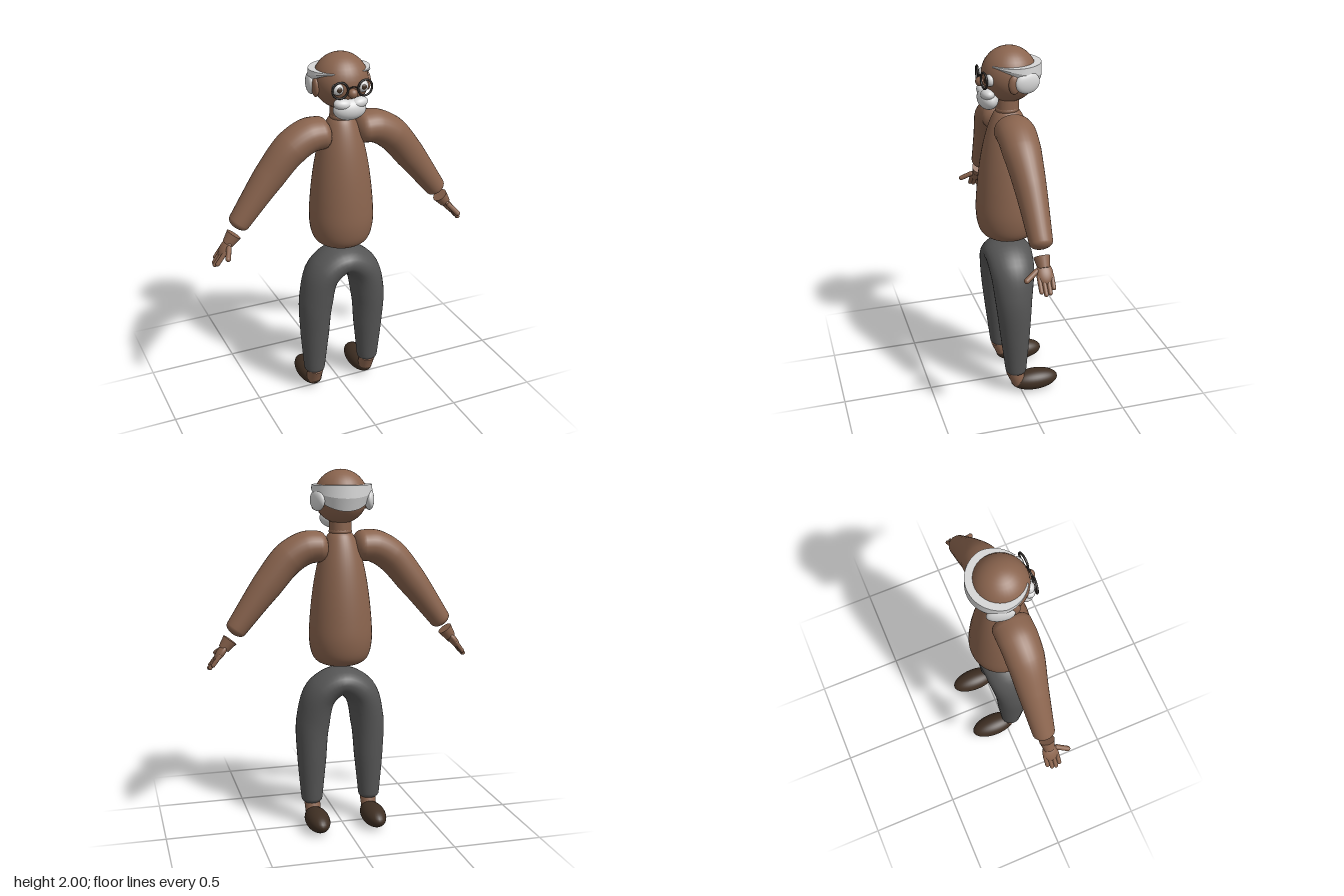
import * as THREE from 'three';

const mat = (name, color, side = THREE.FrontSide) => {
  const m = new THREE.MeshStandardMaterial({ color, side });
  m.name = name;
  return m;
};

export function createModel() {
  const root = new THREE.Group();
  root.name = 'bespectacledMan';
  const skin = mat('skin brown', 0x8a644e);
  const trouser = mat('trouser grey', 0x555555);
  const leather = mat('shoe brown', 0x3f2f23);
  const hair = mat('hair white', 0xd6d6d6);
  const frame = mat('frame black', 0x2a2624);
  const V = (x, y, z) => new THREE.Vector3(x, y, z);

  const add = (name, geo, material, parent = root) => {
    const m = new THREE.Mesh(geo, material);
    m.name = name;
    parent.add(m);
    return m;
  };
  const ball = (name, p, r, material, parent = root) => {
    const m = add(name, new THREE.SphereGeometry(1, 32, 20), material, parent);
    m.position.set(...p);
    m.scale.set(...r);
    return m;
  };
  // Tapered rod between two points
  const rod = (name, a, b, ra, rb, material, parent = root) => {
    const m = add(name, new THREE.CylinderGeometry(rb, ra, a.distanceTo(b), 20), material, parent);
    m.position.copy(a).add(b).multiplyScalar(0.5);
    m.quaternion.setFromUnitVectors(V(0, 1, 0), b.clone().sub(a).normalize());
    return m;
  };

  // Round-ended limb in the xy plane; stations are [x, y, radius, depth radius, z]
  const limb = (name, stations, material) => {
    const path = new THREE.CatmullRomCurve3(stations.map(s => V(s[0], s[1], s[4])));
    const n = 48, sides = 28, pos = [], idx = [];
    const mix = (t, k) => {
      const f = t * (stations.length - 1), i = Math.min(Math.floor(f), stations.length - 2);
      return THREE.MathUtils.lerp(stations[i][k], stations[i + 1][k], f - i);
    };
    const rings = [];
    for (let k = 0; k < 6; k++) rings.push([0, k / 6 * Math.PI / 2, -1]);
    for (let k = 0; k <= n; k++) rings.push([k / n, Math.PI / 2, 0]);
    for (let k = 5; k >= 0; k--) rings.push([1, k / 6 * Math.PI / 2, 1]);
    rings.forEach(([t, a, end]) => {
      const tan = path.getTangent(t).setZ(0).normalize();
      const c = path.getPoint(t).addScaledVector(tan, end * Math.cos(a) * mix(t, 2) * 0.6);
      const s = Math.max(Math.sin(a), 0.001);
      for (let j = 0; j < sides; j++) {
        const u = j / sides * Math.PI * 2, r = mix(t, 2) * s * Math.cos(u);
        pos.push(c.x - tan.y * r, c.y + tan.x * r, c.z + mix(t, 3) * s * Math.sin(u));
      }
    });
    for (let i = 0; i < rings.length - 1; i++) for (let j = 0; j < sides; j++) {
      const a = i * sides + j, b = i * sides + (j + 1) % sides;
      idx.push(a, b, a + sides, b, b + sides, a + sides);
    }
    const g = new THREE.BufferGeometry();
    g.setAttribute('position', new THREE.Float32BufferAttribute(pos, 3));
    g.setIndex(idx);
    g.computeVertexNormals();
    return add(name, g, material);
  };

  // Torso and neck
  const profile = new THREE.SplineCurve([
    [0.001, 0.925], [0.09, 0.935], [0.15, 0.975], [0.174, 1.07], [0.17, 1.2], [0.152, 1.36],
    [0.125, 1.5], [0.09, 1.61], [0.055, 1.665], [0.001, 1.67]
  ].map(p => new THREE.Vector2(...p)));
  add('torso', new THREE.LatheGeometry(profile.getPoints(50), 40), skin).position.z = 0.031;
  rod('neck', V(0, 1.58, 0.033), V(0, 1.75, 0.033), 0.062, 0.062, skin);
  const collar = add('collar', new THREE.TorusGeometry(0.05, 0.014, 10, 32), skin);
  collar.rotation.x = Math.PI / 2;
  collar.position.set(0, 1.668, 0.033);

  // Trousers: one arch from ankle to ankle
  const leg = [[0.168, 0.16, 0.06, 0.06, 0.033], [0.166, 0.38, 0.081, 0.083, 0.037],
    [0.158, 0.6, 0.095, 0.103, 0.042], [0.112, 0.77, 0.092, 0.125, 0.038]];
  limb('trousers', [...leg.map(s => [-s[0], ...s.slice(1)]), [0, 0.835, 0.08, 0.135, 0.035],
    ...leg.slice().reverse()], trouser);

  for (const s of [-1, 1]) {
    const side = s > 0 ? 'left' : 'right';
    // Arm
    limb(side + 'Arm', [[0.12, 1.588, 0.085, 0.103, 0.034], [0.19, 1.583, 0.09, 0.104, 0.036],
      [0.285, 1.53, 0.091, 0.1, 0.037], [0.41, 1.385, 0.083, 0.082, 0.03],
      [0.58, 1.16, 0.058, 0.06, 0.026]].map(p => [p[0] * s, ...p.slice(1)]), skin);

    // Hand hanging along its own -y axis, thumb forward
    const hand = new THREE.Group();
    hand.name = side + 'Hand';
    hand.position.set(0.614 * s, 1.1, 0.033);
    hand.rotation.z = 0.652 * s;
    root.add(hand);
    rod('cuff', V(0, -0.06, 0), V(0, 0, 0), 0.03, 0.042, skin, hand);
    ball('palm', [0, -0.085, 0], [0.022, 0.058, 0.043], skin, hand);
    for (let i = 0; i < 4; i++) {
      const z = (i - 1.5) * 0.022, len = [0.172, 0.195, 0.2, 0.185][i];
      const f = add('finger', new THREE.CapsuleGeometry(0.0115, len - 0.11, 6, 12), skin, hand);
      f.position.set(0, -(len + 0.09) / 2, z);
    }
    const thumb = add('thumb', new THREE.CapsuleGeometry(0.014, 0.07, 6, 12), skin, hand);
    thumb.position.set(0, -0.09, 0.068);
    thumb.rotation.x = -0.95;

    // Ankle and shoe
    rod(side + 'Ankle', V(0.165 * s, 0.06, 0.01), V(0.165 * s, 0.15, 0.045), 0.042, 0.046, skin);
    ball(side + 'Shoe', [0.163 * s, 0.064, -0.08], [0.067, 0.06, 0.138], leather);

    // Ear and side tuft of hair
    ball(side + 'Ear', [0.145 * s, 1.835, 0.035], [0.017, 0.05, 0.03], skin);
    const tuft = ball(side + 'HairTuft', [0.143 * s, 1.84, -0.035], [0.026, 0.056, 0.07], hair);
    tuft.rotation.y = 0.25 * s;

    // Eye, pupil and spectacle rim
    ball(side + 'Eye', [0.068 * s, 1.847, 0.142], [0.032, 0.032, 0.026], hair);
    ball(side + 'Pupil', [0.068 * s, 1.847, 0.163], [0.015, 0.015, 0.008], leather);
    const rim = add(side + 'Rim', new THREE.TorusGeometry(0.041, 0.0055, 10, 36), frame);
    rim.position.set(0.069 * s, 1.847, 0.173);
    rim.rotation.y = 0.12 * s;

    // Half of the moustache
    const lobe = ball(side + 'Moustache', [0.042 * s, 1.765, 0.148], [0.052, 0.03, 0.036], hair);
    lobe.rotation.z = 0.15 * s;
  }

  // Head and face
  ball('head', [0, 1.855, 0.022], [0.145, 0.145, 0.145], skin);
  ball('nose', [0, 1.825, 0.176], [0.026, 0.025, 0.025], skin);
  ball('beard', [0, 1.733, 0.137], [0.09, 0.058, 0.054], hair);
  const bridge = add('bridge', new THREE.TorusGeometry(0.028, 0.0045, 8, 16, Math.PI), frame);
  bridge.position.set(0, 1.842, 0.176);
  bridge.scale.y = 0.6;

  // Hair band: open at the forehead, deepening toward the back
  const pos = [], idx = [], n = 56;
  for (let i = 0; i <= n; i++) {
    const a = THREE.MathUtils.lerp(0.62, Math.PI * 2 - 0.62, i / n);
    const back = THREE.MathUtils.clamp((0.8 - Math.cos(a)) / 1.8, 0, 1);
    const drop = 0.005 + 0.13 * Math.pow(back, 1.4);
    const outer = 0.136 + 0.031 * Math.min(1, back * 1.8);
    const ring = [[0.11, 0], [outer, 0], [outer + 0.002, -drop * 0.5], [outer - 0.02 * back, -drop], [0.11, -drop]];
    // Corners are doubled so that each strip keeps its own normals
    for (let j = 0; j < 4; j++) for (const [r, dy] of [ring[j], ring[j + 1]])
      pos.push(Math.sin(a) * r, 1.92 + dy, 0.022 + Math.cos(a) * r);
    if (i < n) for (let j = 0; j < 4; j++) {
      const p = i * 8 + j * 2, q = p + 8;
      idx.push(p, p + 1, q, p + 1, q + 1, q);
    }
  }
  const band = new THREE.BufferGeometry();
  band.setAttribute('position', new THREE.Float32BufferAttribute(pos, 3));
  band.setIndex(idx.reverse());
  band.computeVertexNormals();
  // Turn the strips outward if the top strip faces down
  if (band.attributes.normal.getY(8 * 28) < 0) {
    band.setIndex(idx.reverse());
    band.computeVertexNormals();
  }
  add('hairBand', band, hair);

  return root;
}
